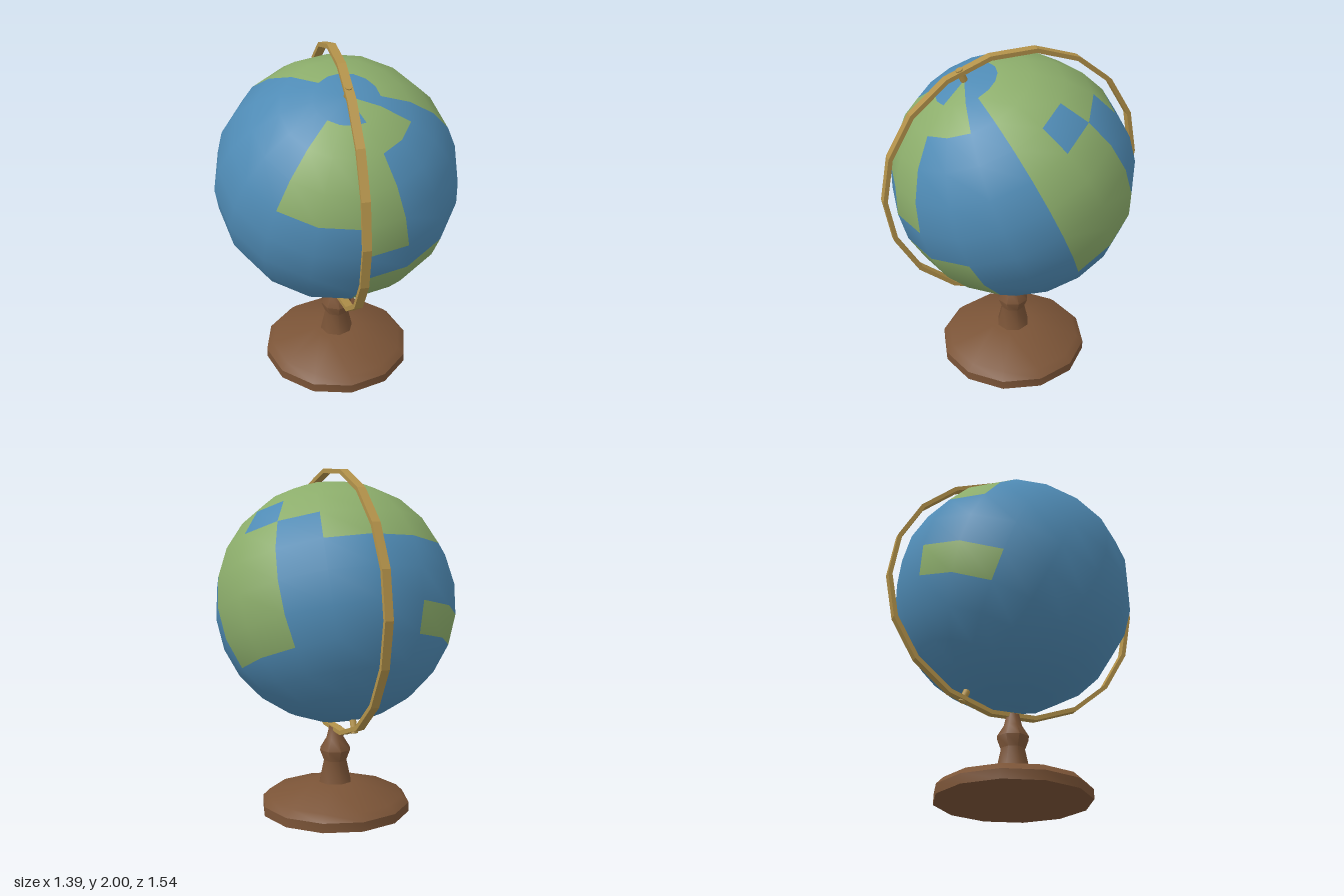
import * as THREE from 'three';
import { toCreasedNormals } from 'three/addons/utils/BufferGeometryUtils.js';

const CENTRE_Y = 1.24;
const RADIUS = 0.695;
const TILT = THREE.MathUtils.degToRad(23.5);
const COLS = 16;

// One row per 15 degrees of latitude from the north pole, '#' is land
const MAP = [
  '.....##.........',
  '..#####.######..',
  '..###...######..',
  '..###...#.####..',
  '....#...##.###..',
  '........##......',
  '....##..##......',
  '....##..##...##.',
  '....##..........',
  '................',
  '................',
  '................',
];

const material = (name, color) => {
  const m = new THREE.MeshStandardMaterial({ color });
  m.name = name;
  return m;
};

const part = (name, geometry, mat) => {
  const mesh = new THREE.Mesh(geometry, mat);
  mesh.name = name;
  return mesh;
};

const lathe = (points, sides, crease) =>
  toCreasedNormals(
    new THREE.LatheGeometry(points.map(([r, y]) => new THREE.Vector2(r, y)), sides),
    crease
  );

// Sphere whose cells are assigned to ocean (0) or land (1)
function globeGeometry() {
  const geo = new THREE.SphereGeometry(RADIUS, COLS, MAP.length);
  let start = 0;
  MAP.forEach((row, j) => {
    const count = j === 0 || j === MAP.length - 1 ? 3 : 6;
    for (const cell of row) {
      geo.addGroup(start, count, cell === '#' ? 1 : 0);
      start += count;
    }
  });
  return geo;
}

export function createModel() {
  const ocean = material('ocean blue', 0x4f8bb5);
  const land = material('land green', 0x8cad6b);
  const brass = material('brass', 0xb3924a);
  const wood = material('brown wood', 0x7b5437);

  const model = new THREE.Group();
  model.name = 'deskGlobe';

  // Globe and axle lean towards the front
  const tilted = new THREE.Group();
  tilted.name = 'tiltedGlobe';
  tilted.position.y = CENTRE_Y;
  tilted.rotation.x = TILT;
  tilted.add(part('globe', globeGeometry(), [ocean, land]));
  for (const side of [1, -1]) {
    const pin = part('axlePin', toCreasedNormals(new THREE.CylinderGeometry(0.02, 0.02, 0.1, 8), 0.9), brass);
    pin.position.y = side * 0.718;
    tilted.add(pin);
  }
  model.add(tilted);

  // Flat meridian band standing in the y-z plane
  const ring = part(
    'meridianRing',
    lathe([[0.745, -0.024], [0.77, -0.024], [0.77, 0.024], [0.745, 0.024], [0.745, -0.024]], 18, 0.2),
    brass
  );
  ring.rotation.z = Math.PI / 2;
  ring.position.y = CENTRE_Y;
  model.add(ring);

  // Turned stand
  model.add(part(
    'base',
    lathe([[0, 0], [0.44, 0], [0.44, 0.055], [0.4, 0.095], [0.13, 0.17], [0, 0.17]], 12, 0.6),
    wood
  ));
  model.add(part(
    'stem',
    lathe([[0.1, 0.165], [0.07, 0.3], [0.095, 0.365], [0.055, 0.43], [0.038, 0.5], [0, 0.5]], 8, 0.9),
    wood
  ));

  return model;
}
